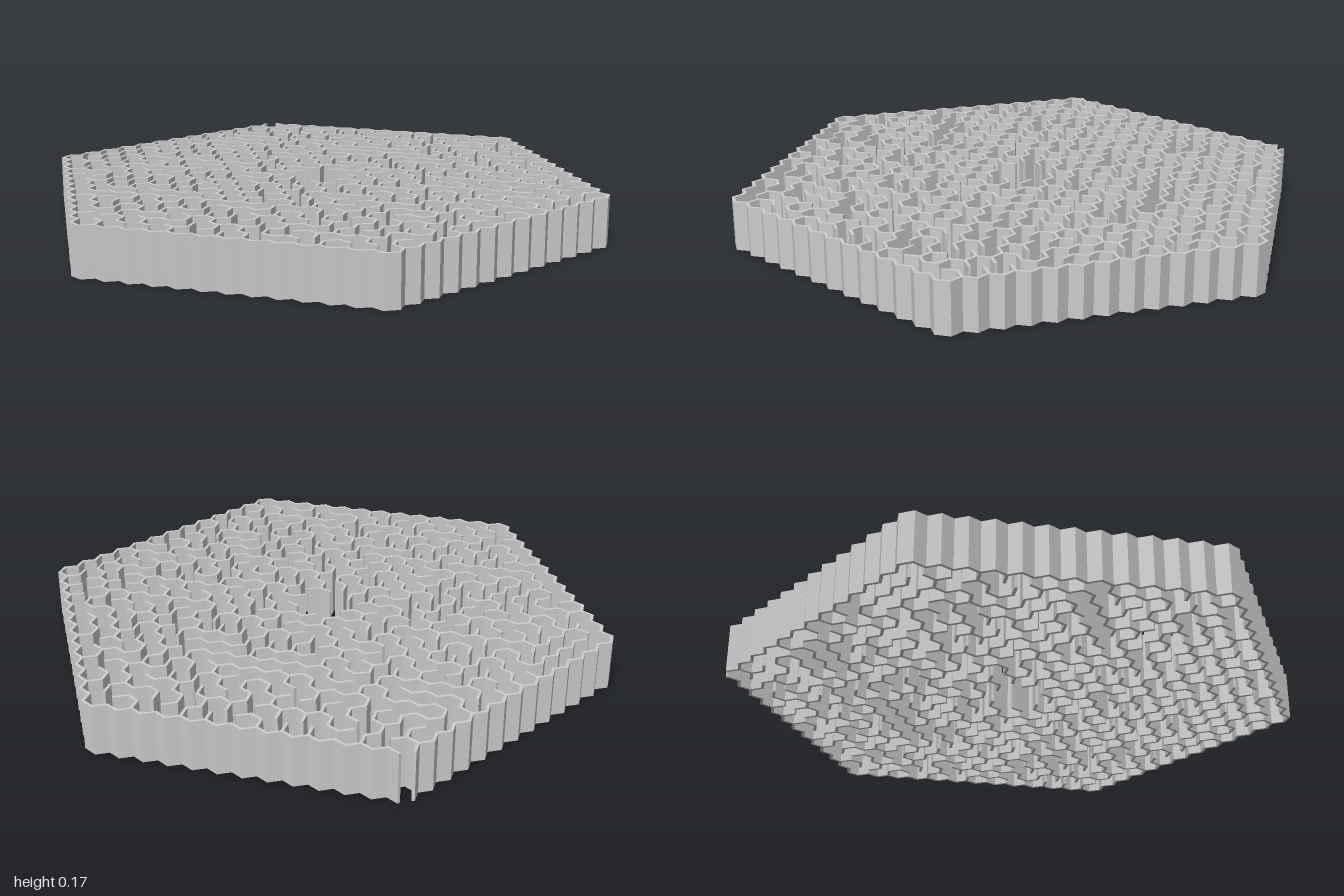
import * as THREE from 'three';
import { mergeGeometries } from 'three/addons/utils/BufferGeometryUtils.js';

const RINGS = 12;            // rings of cells round the centre cell
const THICK = 0.01;          // wall thickness
const HEIGHT = 0.17;         // wall height
const PITCH = (2 - THICK) / (2 * RINGS + 1); // distance between cell centres
const SIDE = PITCH / Math.sqrt(3);           // length of one cell side
const DIRS = [[1, 0], [0, 1], [-1, 1], [-1, 0], [0, -1], [1, -1]];

const ringOf = (q, r) => Math.max(Math.abs(q), Math.abs(r), Math.abs(q + r));
const inside = (q, r) => ringOf(q, r) <= RINGS;
const cellX = (q) => 1.5 * SIDE * q;
const cellZ = (q, r) => PITCH * (r + q / 2);

function seeded(seed) {
  let s = seed;
  return () => (s = (s * 16807) % 2147483647) / 2147483647;
}

// Carve one winding route through all cells; returns the set of open sides
function carveMaze() {
  const random = seeded(4711);
  const open = new Set();
  const seen = new Set(['0,' + -RINGS]);
  const stack = [[0, -RINGS]];
  const join = (q, r, d) => {
    open.add(`${q},${r},${d}`);
    open.add(`${q + DIRS[d][0]},${r + DIRS[d][1]},${(d + 3) % 6}`);
  };
  while (stack.length) {
    const [q, r] = stack[stack.length - 1];
    const choices = [0, 1, 2, 3, 4, 5].filter((d) => {
      const a = q + DIRS[d][0], b = r + DIRS[d][1];
      return inside(a, b) && !seen.has(`${a},${b}`);
    });
    if (!choices.length) { stack.pop(); continue; }
    const d = choices[Math.floor(random() * choices.length)];
    const next = [q + DIRS[d][0], r + DIRS[d][1]];
    join(q, r, d);
    seen.add(next.join());
    stack.push(next);
  }
  // Open room of seven cells in the middle
  for (const [q, r] of [[0, 0], ...DIRS]) {
    DIRS.forEach(([a, b], d) => { if (ringOf(q + a, r + b) <= 1) join(q, r, d); });
  }
  // Entrance at the back corner
  open.add(`0,${-RINGS},4`);
  return open;
}

// One wall panel on side d of a cell, long enough to close the corners
function wallPanel(q, r, d) {
  const [a, b] = DIRS[d];
  const dx = cellX(a), dz = cellZ(a, b);
  const g = new THREE.BoxGeometry(SIDE + THICK / Math.sqrt(3), HEIGHT, THICK);
  g.rotateY(Math.atan2(-dx, -dz));
  g.translate(cellX(q) + dx / 2, HEIGHT / 2, cellZ(q, r) + dz / 2);
  return g;
}

export function createModel() {
  const group = new THREE.Group();
  group.name = 'hexagonalMaze';
  const material = new THREE.MeshStandardMaterial({ color: 0xcccccc, flatShading: true });
  const open = carveMaze();
  const outer = [], inner = [];

  for (let q = -RINGS; q <= RINGS; q++) {
    for (let r = -RINGS; r <= RINGS; r++) {
      if (!inside(q, r)) continue;
      DIRS.forEach(([a, b], d) => {
        if (open.has(`${q},${r},${d}`)) return;
        if (!inside(q + a, r + b)) outer.push(wallPanel(q, r, d));
        else if (d < 3) inner.push(wallPanel(q, r, d));
      });
    }
  }

  for (const [name, panels] of [['outerWall', outer], ['innerWalls', inner]]) {
    const mesh = new THREE.Mesh(mergeGeometries(panels), material);
    mesh.name = name;
    group.add(mesh);
  }
  return group;
}
